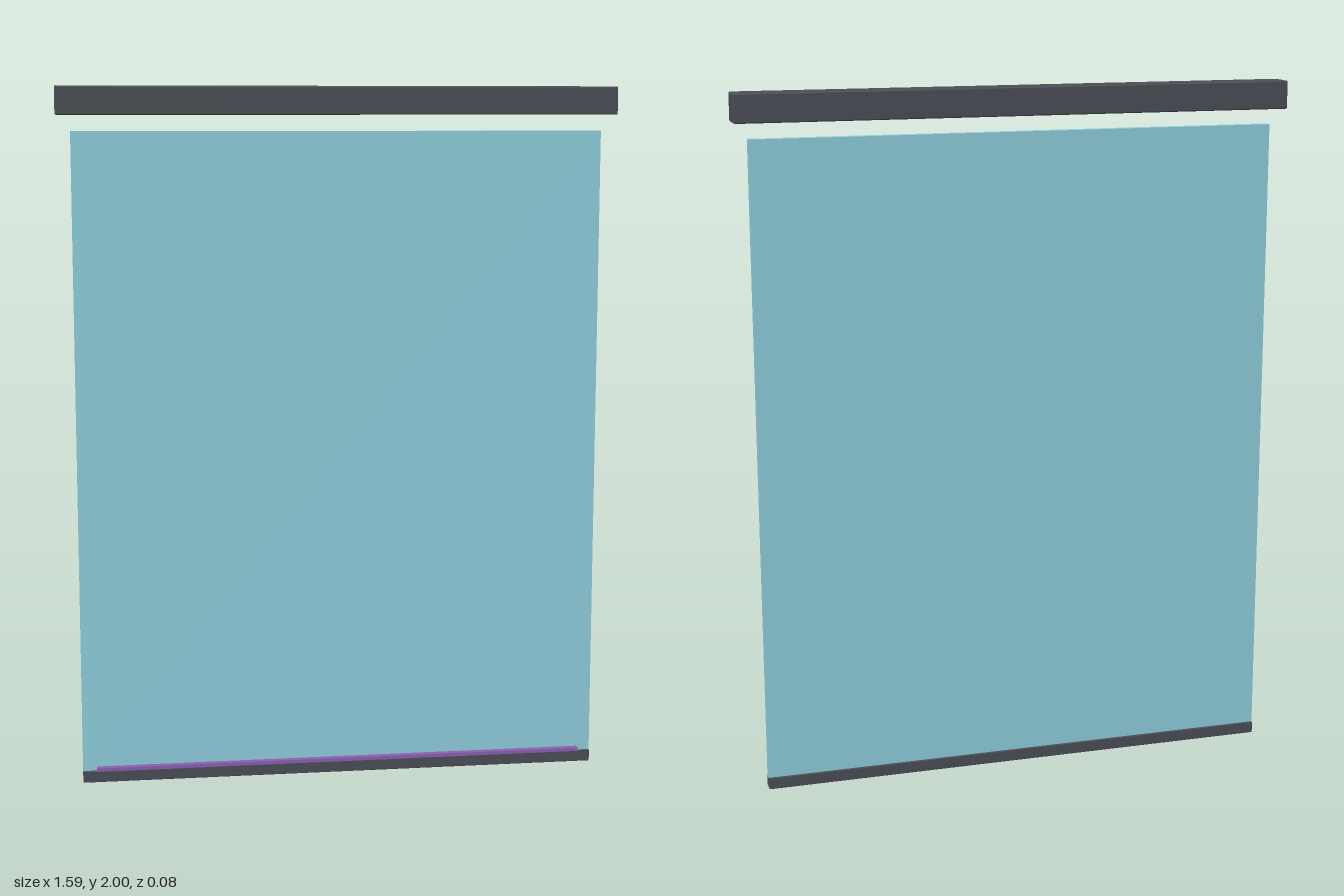
import * as THREE from 'three';
import { RoundedBoxGeometry } from 'three/addons/geometries/RoundedBoxGeometry.js';

export function createModel() {
  const model = new THREE.Group();
  const dark = new THREE.MeshStandardMaterial({ color: 0x4a4e55 });
  const glass = new THREE.MeshStandardMaterial({ color: 0x8fcfdd });
  const purple = new THREE.MeshStandardMaterial({ color: 0x8a5fb0 });

  // Places a geometry so that it spans y0 upwards
  const add = (name, geometry, material, height, y0, z = 0) => {
    const mesh = new THREE.Mesh(geometry, material);
    mesh.name = name;
    mesh.position.set(0, y0 + height / 2, z);
    model.add(mesh);
  };

  // Overhead rail, floating just above the panel
  add('topRail', new RoundedBoxGeometry(1.594, 0.08, 0.08, 2, 0.004), dark, 0.08, 1.92);

  // Large thin pane
  add('panel', new THREE.BoxGeometry(1.51, 1.843, 0.026), glass, 1.843, 0.032);

  // Floor rail holding the pane
  add('bottomRail', new RoundedBoxGeometry(1.51, 0.034, 0.038, 2, 0.002), dark, 0.034, 0);

  // Thin accent strip along the front foot of the pane
  add('accentStrip', new THREE.BoxGeometry(1.43, 0.01, 0.02), purple, 0.01, 0.037, 0.026);

  return model;
}
